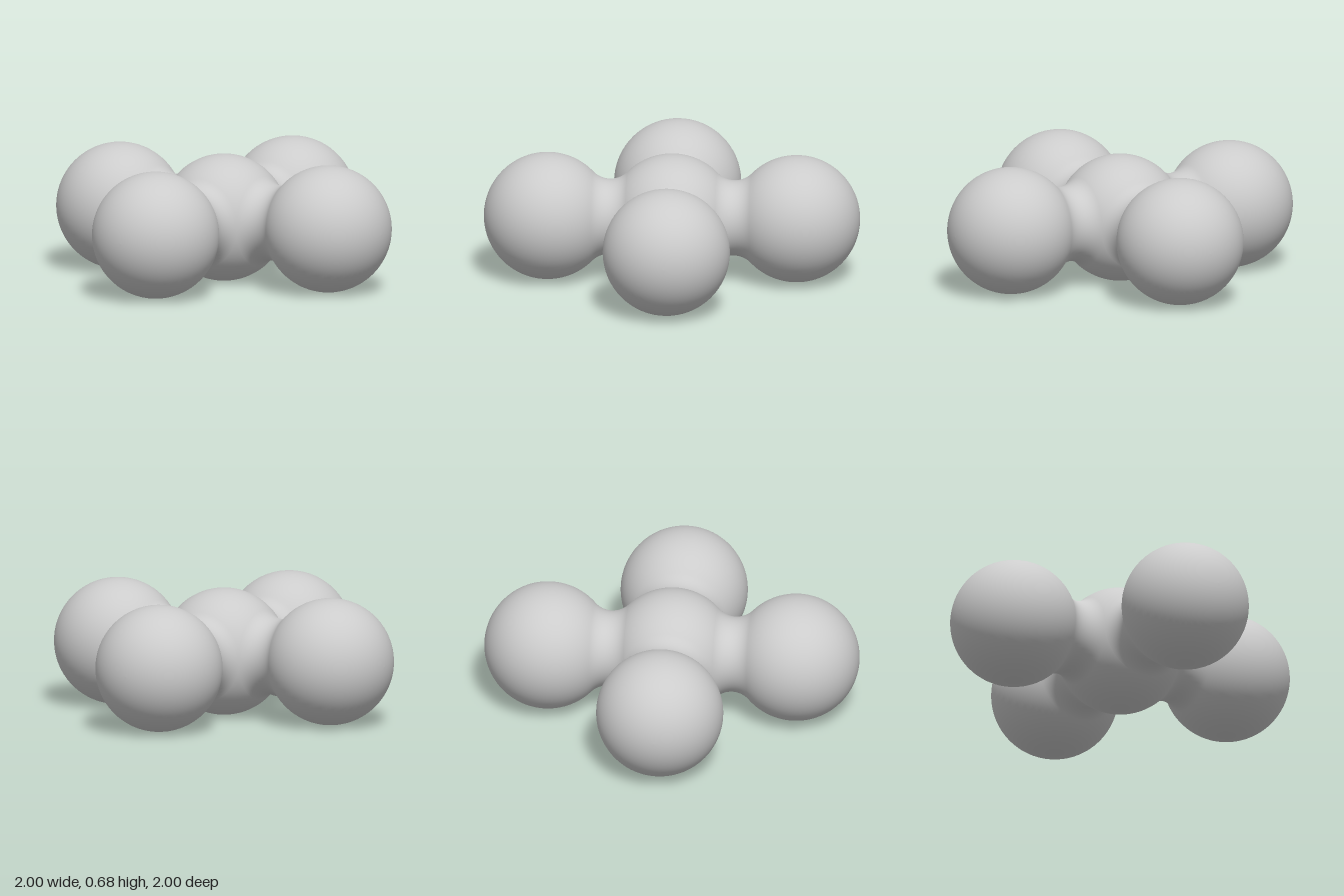
import * as THREE from 'three';

const R = 0.338;            // ball radius
const D = 1 - R;            // distance from the core to each outer ball
const NECK = 0.2;           // narrowest radius of a neck
// radius of the concave fillet that touches both balls and leaves the neck radius
const F = (NECK * NECK + D * D / 4 - R * R) / (2 * (R - NECK));

// Profile of one arm along +y: concave neck, then the outer ball up to its pole
function armProfile() {
  const points = [];
  const a = Math.atan2(D / 2, NECK + F);   // half sweep of the fillet
  for (let i = 0; i <= 24; i++) {
    const t = -a + (2 * a * i) / 24;
    points.push(new THREE.Vector2(NECK + F - F * Math.cos(t), D / 2 + F * Math.sin(t)));
  }
  for (let i = 1; i <= 40; i++) {
    const t = -a + ((a + Math.PI / 2) * i) / 40;
    points.push(new THREE.Vector2(Math.max(0, R * Math.cos(t)), D + R * Math.sin(t)));
  }
  return points;
}

export function createModel() {
  const model = new THREE.Group();
  model.name = 'joinedBalls';
  const material = new THREE.MeshStandardMaterial({ color: 0xcccccc });

  // Central ball
  const core = new THREE.Mesh(new THREE.SphereGeometry(R, 64, 48), material);
  core.name = 'centreBall';
  core.position.y = R;
  model.add(core);

  // Four arms, each a neck blending into a ball
  const armGeometry = new THREE.LatheGeometry(armProfile(), 64);
  armGeometry.rotateX(Math.PI / 2);        // axis now points to +z
  ['frontArm', 'leftArm', 'backArm', 'rightArm'].forEach((name, i) => {
    const arm = new THREE.Mesh(armGeometry, material);
    arm.name = name;
    arm.position.y = R;
    arm.rotation.y = (i * Math.PI) / 2;
    model.add(arm);
  });

  return model;
}
